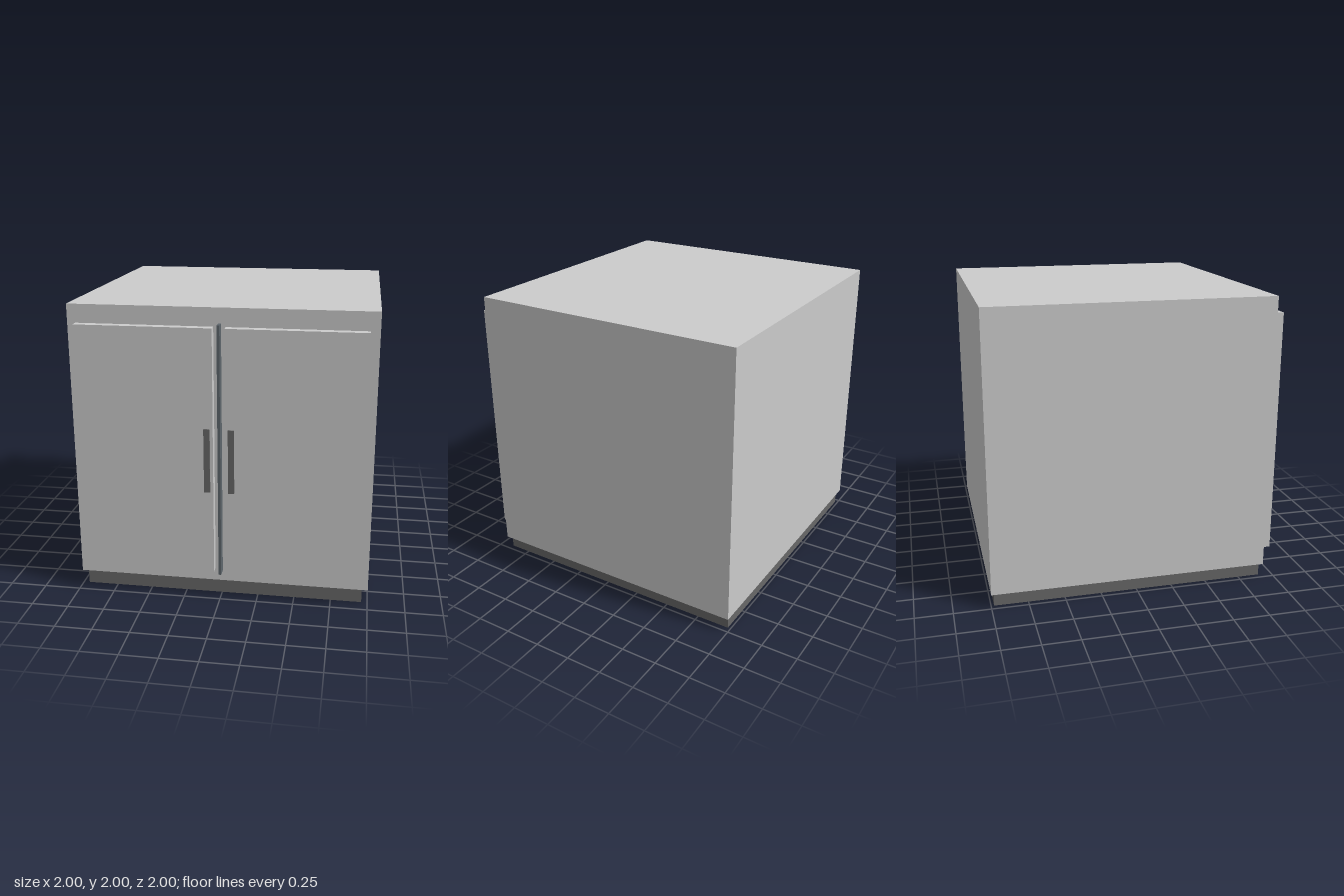
import * as THREE from 'three';

export function createModel() {
  const group = new THREE.Group();
  const paint = (color) => new THREE.MeshStandardMaterial({ color });
  const bodyPaint = paint(0xc2c6c6);
  const doorPaint = paint(0xcccccc);
  const darkPaint = paint(0x686868);
  const stripPaint = paint(0x5e666c);

  // Box given by its limits on each axis
  function box(name, material, [x0, x1], [y0, y1], [z0, z1]) {
    const mesh = new THREE.Mesh(new THREE.BoxGeometry(x1 - x0, y1 - y0, z1 - z0), material);
    mesh.position.set((x0 + x1) / 2, (y0 + y1) / 2, (z0 + z1) / 2);
    mesh.name = name;
    group.add(mesh);
  }

  // Cabinet body on a recessed plinth
  box('plinth', darkPaint, [-0.96, 0.96], [0, 0.1], [-0.98, 0.903]);
  box('cabinetBody', bodyPaint, [-1, 1], [0.1, 2], [-1, 0.917]);

  // Thin strip between the doors
  box('centreStrip', stripPaint, [-0.009, 0.009], [0.18, 1.9], [0.926, 0.993]);

  // Mirrored doors, each with an upright handle beside the centre
  for (const [side, s] of [['left', 1], ['right', -1]]) {
    const span = (a, b) => (s > 0 ? [a, b] : [-b, -a]);
    box(side + 'Door', doorPaint, span(0.04, 0.94), [0.2, 1.88], [0.931, 0.988]);
    box(side + 'Handle', darkPaint, span(0.06, 0.1), [0.783, 1.22], [0.919, 1]);
  }
  return group;
}
